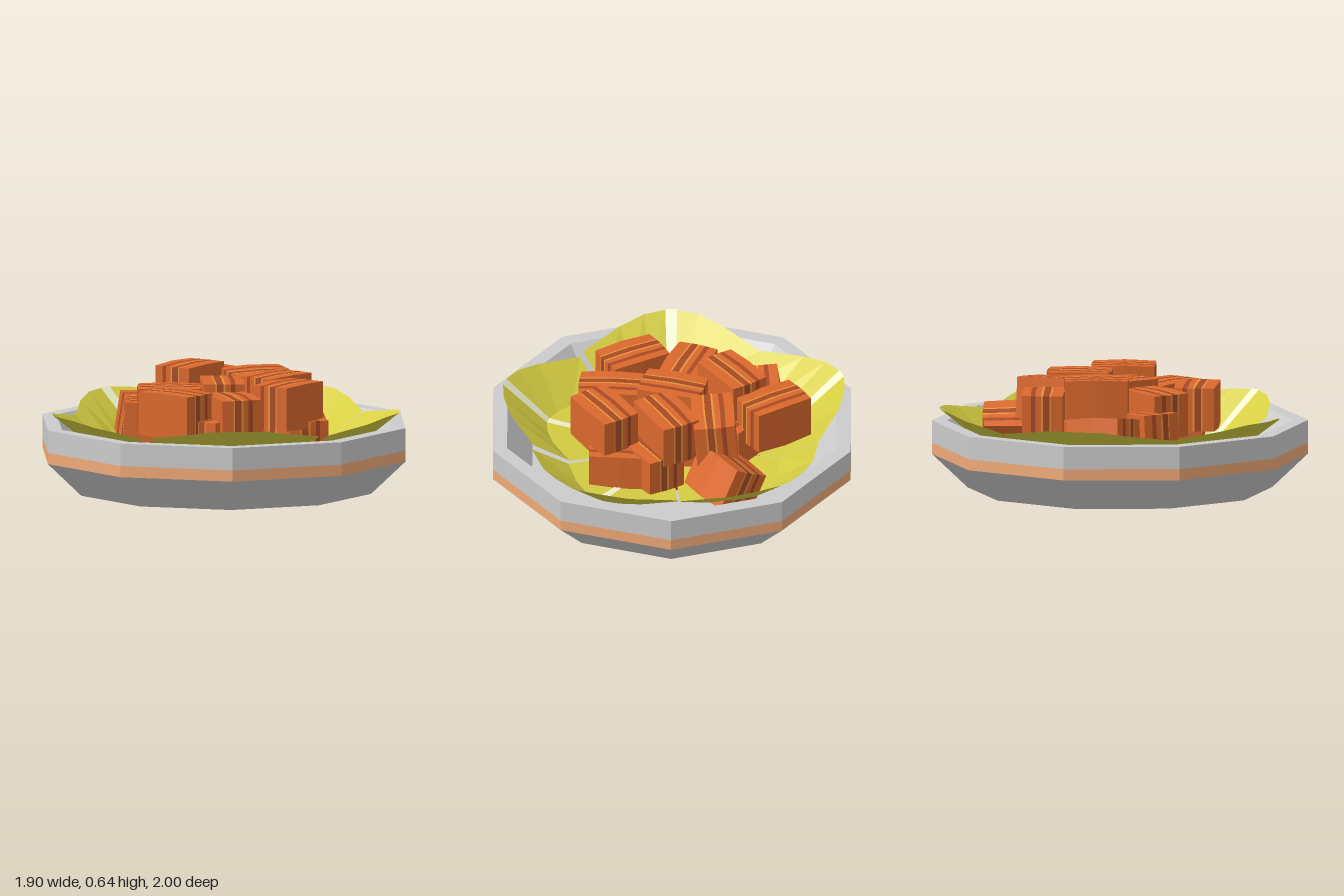
import * as THREE from 'three';

const mat = (color, side = THREE.FrontSide) =>
  new THREE.MeshStandardMaterial({ color, side, flatShading: true });
const grey = mat(0xcccccc);
const band = mat(0xf0aa78);
const leafGreen = mat(0xd6ce42, THREE.DoubleSide);
const ribPale = mat(0xf2f2d0);
const orange = mat(0xda682c), brown = mat(0xa84a24), tan = mat(0xe6953c);

function named(name, geometry, material) {
  const mesh = new THREE.Mesh(geometry, material);
  mesh.name = name;
  return mesh;
}

// Ten-sided ring surface from a [radius, y] profile
const lathe = (profile) =>
  new THREE.LatheGeometry(profile.map(([r, y]) => new THREE.Vector2(r, y)), 10);

function makeBowl() {
  const bowl = new THREE.Group();
  bowl.name = 'bowl';
  bowl.add(
    named('bowlBase', lathe([[0, 0], [0.81, 0], [1, 0.18]]), grey),
    named('bowlBand', lathe([[1, 0.18], [1, 0.24]]), band),
    named('bowlRim', lathe([[1, 0.24], [1, 0.36], [0.92, 0.36], [0.78, 0.19], [0, 0.19]]), grey)
  );
  return bowl;
}

// Leaf outline: [angle from midrib in degrees, outer radius, outer height]
const leafHalf = [[1.9, 0.925, 0.435], [9, 0.9, 0.43], [18, 0.855, 0.405], [35.3, 0.78, 0.365]];
// Rows from the leaf's inner end outwards: [share of radius, share of rise]
const leafRows = [[0.22, 0], [0.5, 0.01], [0.74, 0.12], [1, 1]];

function leafSheet(columns, scale, lift = 0) {
  const pos = [], index = [], n = leafRows.length;
  for (const [deg, radius, top] of columns) {
    const a = THREE.MathUtils.degToRad(deg), R = radius * scale;
    for (const [s, h] of leafRows) {
      pos.push(Math.sin(a) * R * s, 0.205 + lift + (top - 0.205) * h, Math.cos(a) * R * s);
    }
  }
  for (let c = 0; c < columns.length - 1; c++) {
    for (let r = 0; r < n - 1; r++) {
      const i = c * n + r;
      index.push(i, i + 1, i + n, i + 1, i + n + 1, i + n);
    }
  }
  const g = new THREE.BufferGeometry();
  g.setAttribute('position', new THREE.Float32BufferAttribute(pos, 3));
  g.setIndex(index);
  g.computeVertexNormals();
  return g;
}

function makeLeaf([deg, scale]) {
  const mirrored = leafHalf.map(([a, r, y]) => [-a, r, y]).reverse();
  const leaf = new THREE.Group();
  leaf.name = 'leaf';
  leaf.add(
    named('leafBlade', leafSheet([...mirrored, ...leafHalf], scale), leafGreen),
    // The pale midrib lies just above the blade, on its upper side only
    named('leafMidrib', leafSheet([mirrored[3], leafHalf[0]], scale, 0.004), ribPale)
  );
  leaf.rotation.y = THREE.MathUtils.degToRad(deg);
  return leaf;
}

// Layers of a meat cube across its width: [share, material]
const layers = [[0.28, orange], [0.04, tan], [0.16, brown], [0.05, tan],
  [0.14, orange], [0.11, brown], [0.22, orange]];
const W = 0.215, H = 0.23, L = 0.34;

function makeMeat([x, top, z, dx, dz, tilt = 0, roll = 0]) {
  const piece = new THREE.Group();
  piece.name = 'meatPiece';
  let left = -W / 2;
  for (const [share, material] of layers) {
    const w = W * share;
    const g = new THREE.BoxGeometry(w, H, L, 1, 1, 2).translate(left + w / 2, 0, 0);
    // Slight bulge at the middle of the length and the width
    const p = g.attributes.position;
    for (let i = 0; i < p.count; i++) {
      const px = p.getX(i), pz = p.getZ(i);
      const mid = 1 - Math.abs(pz) / (L / 2);
      p.setX(i, px * (1 + 0.07 * mid));
      p.setY(i, p.getY(i) * (1 + 0.05 * mid));
      p.setZ(i, pz * (1.02 - 0.05 * Math.abs(px) / (W / 2)));
    }
    g.computeVertexNormals();
    piece.add(named('meatLayer', g, material));
    left += w;
  }
  piece.rotation.set(tilt, Math.atan2(dx, dz), roll, 'YXZ');
  piece.position.set(x, top - H / 2, z);
  return piece;
}

// Pieces: x, top height, z, direction of the length (x, z), tilt, roll
const pieces = [
  // Upper layer
  [-0.06, 0.57, -0.55, 0.25, 0.2],
  [-0.17, 0.63, -0.28, 0.2, -0.27],
  [0.19, 0.59, -0.3, 0.33, -0.13, 0, 0.08],
  [-0.29, 0.55, 0.01, 1, 0.05],
  [-0.01, 0.58, 0, 0.02, 1],
  [0.28, 0.6, -0.06, 0.25, -0.27],
  [0.03, 0.54, 0.33, 0.08, 0.3],
  [-0.27, 0.56, 0.31, 0.22, 0.2],
  [0.33, 0.6, 0.27, 0.2, -0.25],
  // Lower layer
  [-0.36, 0.44, -0.38, 0.35, -0.13, 0.1, 0.15],
  [0.37, 0.41, -0.42, 0.16, -0.22, 0, -0.5],
  [-0.36, 0.45, -0.1, 1, 0.06, 0.08],
  [0.34, 0.41, 0.01, 0.2, -0.25],
  [0.4, 0.4, 0.15, 0.07, 0.3],
  [-0.05, 0.42, 0.31, 0.2, -0.25],
  [0.07, 0.43, -0.13, 0.1, 0.3],
  [-0.08, 0.42, -0.36, 0.3, 0.1],
  [-0.16, 0.41, 0.02, 0.3, -0.1]
];

// Leaves: direction in degrees, size
const leaves = [[2.5, 1], [75.5, 1.03], [147.5, 1.04], [218.5, 1.04], [288.5, 1.04]];

export function createModel() {
  const model = new THREE.Group();
  model.name = 'foodBowl';
  model.add(makeBowl());
  for (const leaf of leaves) model.add(makeLeaf(leaf));
  for (const piece of pieces) model.add(makeMeat(piece));
  return model;
}
